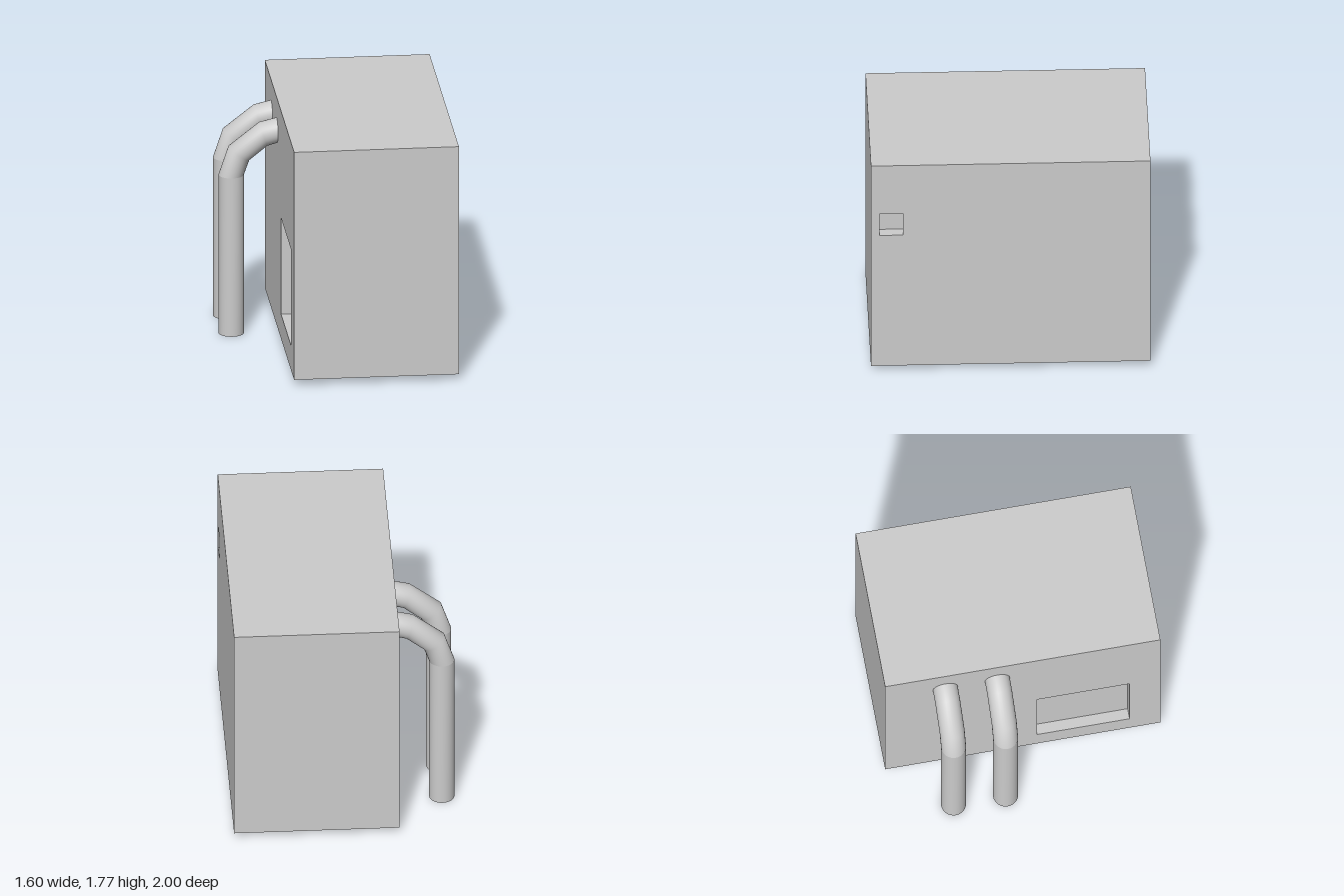
import * as THREE from 'three';

const BODY = { x0: -0.385, x1: 0.8, y0: 0.045, y1: 1.77, z0: -1, z1: 1 };
const DEPTH = 0.078;

// Box without some of its faces (0 = +x, 1 = -x, 2 = +y, 3 = -y, 4 = +z, 5 = -z)
function openBox(w, h, d, dropped) {
  const geo = new THREE.BoxGeometry(w, h, d);
  const index = Array.from(geo.index.array);
  geo.setIndex(index.filter((_, i) => !dropped.includes(Math.floor(i / 6))));
  geo.clearGroups();
  return geo;
}

// Side wall with a rectangular opening, and the recess behind it; side is +1 (left) or -1 (right)
function addSide(group, name, side, opening, material) {
  const { z0, z1, y0, y1 } = opening;
  const u = (z) => -side * z;
  const rect = (a, b, c, d) => [[a, c], [b, c], [b, d], [a, d]].map(([z, y]) => new THREE.Vector2(u(z), y));
  const shape = new THREE.Shape(rect(BODY.z0, BODY.z1, BODY.y0, BODY.y1));
  shape.holes.push(new THREE.Path(rect(z0, z1, y0, y1)));
  const x = side > 0 ? BODY.x1 : BODY.x0;
  const wall = new THREE.Mesh(new THREE.ShapeGeometry(shape).rotateY(side * Math.PI / 2), material);
  wall.position.x = x;
  wall.name = name + 'Wall';

  // Mirroring turns the faces inwards
  const liner = openBox(DEPTH, y1 - y0, z1 - z0, [side > 0 ? 1 : 0]).scale(-1, 1, 1);
  liner.computeVertexNormals();
  const recess = new THREE.Mesh(liner, material);
  recess.position.set(x - side * DEPTH / 2, (y0 + y1) / 2, (z0 + z1) / 2);
  recess.name = name + 'Recess';
  group.add(wall, recess);
}

// Open tube through elliptical rings, each given by its outer and inner point [xo, yo, xi, yi]
function ringTube(rings, radius, segments = 32) {
  const pos = [], index = [];
  rings.forEach(([xo, yo, xi, yi], r) => {
    for (let i = 0; i <= segments; i++) {
      const a = (i / segments) * Math.PI * 2;
      const t = (1 + Math.cos(a)) / 2;
      pos.push(xi + (xo - xi) * t, yi + (yo - yi) * t, radius * Math.sin(a));
      if (r && i) {
        const b = r * (segments + 1) + i, p = b - segments - 1;
        index.push(p - 1, p, b, p - 1, b, b - 1);
      }
    }
  });
  const geo = new THREE.BufferGeometry();
  geo.setAttribute('position', new THREE.Float32BufferAttribute(pos, 3));
  geo.setIndex(index);
  geo.computeVertexNormals();
  // Join the normals along the seam
  const n = geo.attributes.normal, v = new THREE.Vector3(), w = new THREE.Vector3();
  rings.forEach((_, r) => {
    const a = r * (segments + 1), b = a + segments;
    v.fromBufferAttribute(n, a).add(w.fromBufferAttribute(n, b)).normalize();
    n.setXYZ(a, v.x, v.y, v.z);
    n.setXYZ(b, v.x, v.y, v.z);
  });
  return geo;
}

export function createModel() {
  const model = new THREE.Group();
  model.name = 'cabinetWithPipes';
  const grey = new THREE.MeshStandardMaterial({ color: 0xcccccc });
  const greyDouble = new THREE.MeshStandardMaterial({ color: 0xcccccc, side: THREE.DoubleSide });

  // Cabinet: front, back, top and bottom, then the two recessed sides
  const cabinet = new THREE.Group();
  cabinet.name = 'cabinet';
  const shell = new THREE.Mesh(
    openBox(BODY.x1 - BODY.x0, BODY.y1 - BODY.y0, BODY.z1 - BODY.z0, [0, 1]), grey);
  shell.position.set((BODY.x0 + BODY.x1) / 2, (BODY.y0 + BODY.y1) / 2, 0);
  shell.name = 'cabinetShell';
  cabinet.add(shell);
  addSide(cabinet, 'left', 1, { z0: 0.77, z1: 0.94, y0: 1.17, y1: 1.355 }, grey);
  addSide(cabinet, 'right', -1, { z0: 0.105, z1: 0.776, y0: 0.23, y1: 0.96 }, grey);
  model.add(cabinet);

  // Two pipes rising beside the cabinet and bending into its wall
  const base = [-0.803, 0, -0.622, 0];
  const joint = [-0.803, 1.2, -0.622, 1.2];
  const riserGeo = ringTube([base, joint], 0.09);
  const elbowGeo = ringTube([
    joint,
    [-0.732, 1.412, -0.583, 1.31],
    [-0.51, 1.585, -0.455, 1.413],
    [BODY.x0, 1.615, BODY.x0, 1.433],
  ], 0.09);
  [['frontPipe', -0.185], ['backPipe', -0.563]].forEach(([name, z]) => {
    const pipe = new THREE.Group();
    pipe.name = name;
    const riser = new THREE.Mesh(riserGeo, greyDouble);
    riser.name = 'pipeRiser';
    const elbow = new THREE.Mesh(elbowGeo, greyDouble);
    elbow.name = 'pipeElbow';
    pipe.add(riser, elbow);
    pipe.position.z = z;
    model.add(pipe);
  });

  return model;
}
